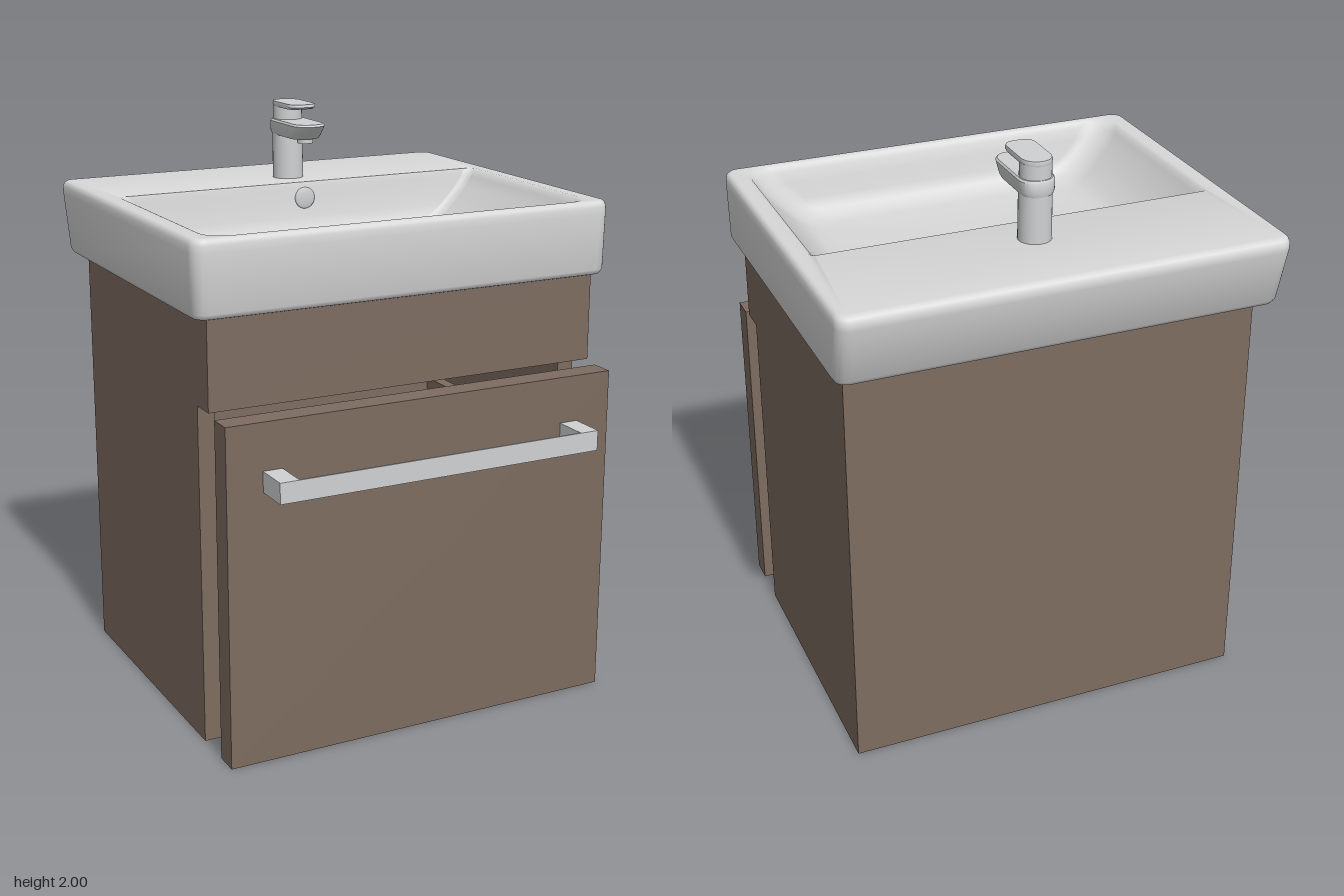
import * as THREE from 'three';
import { toCreasedNormals, mergeVertices } from 'three/addons/utils/BufferGeometryUtils.js';

const wood = new THREE.MeshStandardMaterial({ color: 0x7d6c60, name: 'brown wood' });
const ceramic = new THREE.MeshStandardMaterial({ color: 0xd8d8d8, name: 'white ceramic' });
const metal = new THREE.MeshStandardMaterial({ color: 0xd0d1d2, name: 'satin metal' });

function add(parent, name, geometry, material, x = 0, y = 0, z = 0) {
  const mesh = new THREE.Mesh(geometry, material);
  mesh.name = name;
  mesh.position.set(x, y, z);
  parent.add(mesh);
  return mesh;
}

// Box given by its limits on each axis
function box(parent, name, material, [x0, x1], [y0, y1], [z0, z1]) {
  return add(parent, name, new THREE.BoxGeometry(x1 - x0, y1 - y0, z1 - z0), material,
    (x0 + x1) / 2, (y0 + y1) / 2, (z0 + z1) / 2);
}

// Rounded rectangle loop: [height, half width, back z, front z, front radius, back radius]
function ring([y, w, z0, z1, rf, rb = rf], steps = 8) {
  const corners = [[w - rf, z1 - rf, rf], [rf - w, z1 - rf, rf], [rb - w, z0 + rb, rb], [w - rb, z0 + rb, rb]];
  const points = [];
  corners.forEach(([cx, cz, r], k) => {
    for (let i = 0; i <= steps; i++) {
      const a = (k + i / steps) * Math.PI / 2;
      points.push([cx + r * Math.cos(a), y, cz + r * Math.sin(a)]);
    }
  });
  return points;
}

// Skin through a list of loops, closed at both ends
function loft(rows, crease = 0.85) {
  const loops = rows.map((row) => ring(row));
  const n = loops[0].length;
  const positions = loops.flat(2);
  const index = [];
  for (let i = 0; i < loops.length - 1; i++) {
    for (let j = 0; j < n; j++) {
      const a = i * n + j, b = i * n + (j + 1) % n;
      index.push(a, a + n, b, b, a + n, b + n);
    }
  }
  const first = loops.length * n, last = first + 1, top = (loops.length - 1) * n;
  for (const row of [rows[0], rows[rows.length - 1]]) positions.push(0, row[0], (row[2] + row[3]) / 2);
  for (let j = 0; j < n; j++) {
    const k = (j + 1) % n;
    index.push(first, j, k, last, top + k, top + j);
  }
  const g = new THREE.BufferGeometry();
  g.setAttribute('position', new THREE.Float32BufferAttribute(positions, 3));
  g.setIndex(index);
  return toCreasedNormals(mergeVertices(g), crease);
}

function createCabinet() {
  const g = new THREE.Group();
  g.name = 'cabinet';
  for (const s of [-1, 1]) {
    box(g, 'cabinetSide', wood, s < 0 ? [-0.71, -0.65] : [0.65, 0.71], [0, 1.47], [-0.6, 0.4]);
  }
  box(g, 'cabinetBack', wood, [-0.65, 0.65], [0, 1.47], [-0.6, -0.55]);
  box(g, 'cabinetFloor', wood, [-0.65, 0.65], [0, 0.06], [-0.55, 0.4]);
  box(g, 'upperFrontPanel', wood, [-0.71, 0.71], [1.17, 1.47], [0.4, 0.49]);
  return g;
}

function createDrawer() {
  const g = new THREE.Group();
  g.name = 'drawer';
  box(g, 'drawerFront', wood, [-0.71, 0.71], [0, 1.16], [0.535, 0.62]);
  box(g, 'drawerBottom', wood, [-0.63, 0.63], [0.13, 0.175], [-0.45, 0.535]);
  box(g, 'drawerBack', wood, [-0.59, 0.59], [0.175, 0.89], [-0.45, -0.41]);
  for (const s of [-1, 1]) {
    box(g, 'drawerSide', wood, s < 0 ? [-0.635, -0.59] : [0.59, 0.635], [0.175, 0.89], [-0.45, 0.535]);
    box(g, 'handlePost', metal, s < 0 ? [-0.585, -0.518] : [0.518, 0.585], [0.93, 1], [0.62, 0.745]);
  }
  // Bar with a flat face and a rounded back
  const profile = new THREE.Shape();
  profile.moveTo(0, -0.035);
  profile.absellipse(0, 0, 0.035, 0.035, -Math.PI / 2, Math.PI / 2);
  const bar = new THREE.ExtrudeGeometry(profile, { depth: 1.036, bevelEnabled: false, curveSegments: 16 });
  bar.rotateY(Math.PI / 2);
  add(g, 'handleBar', toCreasedNormals(bar, 0.6), metal, -0.518, 0.965, 0.745);
  return g;
}

function createBasin() {
  const g = new THREE.Group();
  g.name = 'basin';
  add(g, 'basinBowl', loft([
    // Outside, from the underside to the rim
    [1.47, 0.735, -0.665, 0.5, 0.03],
    [1.474, 0.748, -0.678, 0.512, 0.04],
    [1.49, 0.757, -0.69, 0.519, 0.045],
    [1.68, 0.76, -0.74, 0.521, 0.045],
    [1.704, 0.76, -0.742, 0.521, 0.045],
    [1.717, 0.756, -0.734, 0.517, 0.042],
    [1.724, 0.748, -0.722, 0.509, 0.036],
    [1.725, 0.738, -0.71, 0.5, 0.03],
    // Inside, from the rim to the floor
    [1.725, 0.7, -0.285, 0.492, 0.08, 0.025],
    [1.719, 0.688, -0.284, 0.482, 0.09, 0.03],
    [1.7, 0.677, -0.283, 0.474, 0.1, 0.035],
    [1.66, 0.65, -0.281, 0.465, 0.1, 0.04],
    [1.6, 0.59, -0.277, 0.455, 0.1, 0.04],
    [1.56, 0.545, -0.272, 0.445, 0.1, 0.04],
    [1.538, 0.505, -0.255, 0.42, 0.09, 0.04],
    [1.53, 0.45, -0.22, 0.37, 0.08, 0.04],
  ]), ceramic);
  // Slightly domed drain plug and overflow cover
  const plug = (r, h) => new THREE.LatheGeometry(
    [[0, h], [r * 0.5, h * 0.95], [r * 0.9, h * 0.75], [r, h * 0.5], [r, 0]].reverse()
      .map(([x, y]) => new THREE.Vector2(x, y)), 32);
  add(g, 'drainPlug', plug(0.063, 0.015), metal, 0, 1.528, 0.035 - 0.07);
  add(g, 'overflowCover', plug(0.038, 0.012), metal, 0, 1.668, -0.284).rotation.x = Math.PI / 2;
  return g;
}

function createFaucet() {
  const g = new THREE.Group();
  g.name = 'faucet';
  add(g, 'faucetBody', new THREE.CylinderGeometry(0.054, 0.055, 0.165, 32), metal, 0, 1.807, -0.42);
  // Spout with an undercut nose
  add(g, 'spout', loft([
    [1.882, 0.052, -0.475, -0.24, 0.045],
    [1.895, 0.058, -0.478, -0.228, 0.05],
    [1.93, 0.06, -0.478, -0.198, 0.054],
    [1.937, 0.055, -0.474, -0.204, 0.05],
  ], 0.6), metal);
  add(g, 'aerator', new THREE.CylinderGeometry(0.028, 0.028, 0.02, 24), metal, 0, 1.876, -0.275);
  add(g, 'leverHub', new THREE.CylinderGeometry(0.052, 0.052, 0.05, 32), metal, 0, 1.96, -0.42);
  // Thin lever blade tapering towards the front
  add(g, 'lever', loft([
    [1.982, 0.05, -0.472, -0.285, 0.034, 0.05],
    [1.99, 0.052, -0.474, -0.27, 0.036, 0.052],
    [2, 0.05, -0.472, -0.272, 0.036, 0.05],
  ], 0.6), metal);
  return g;
}

export function createModel() {
  const model = new THREE.Group();
  model.name = 'washbasinCabinet';
  model.add(createCabinet(), createDrawer(), createBasin(), createFaucet());
  return model;
}
